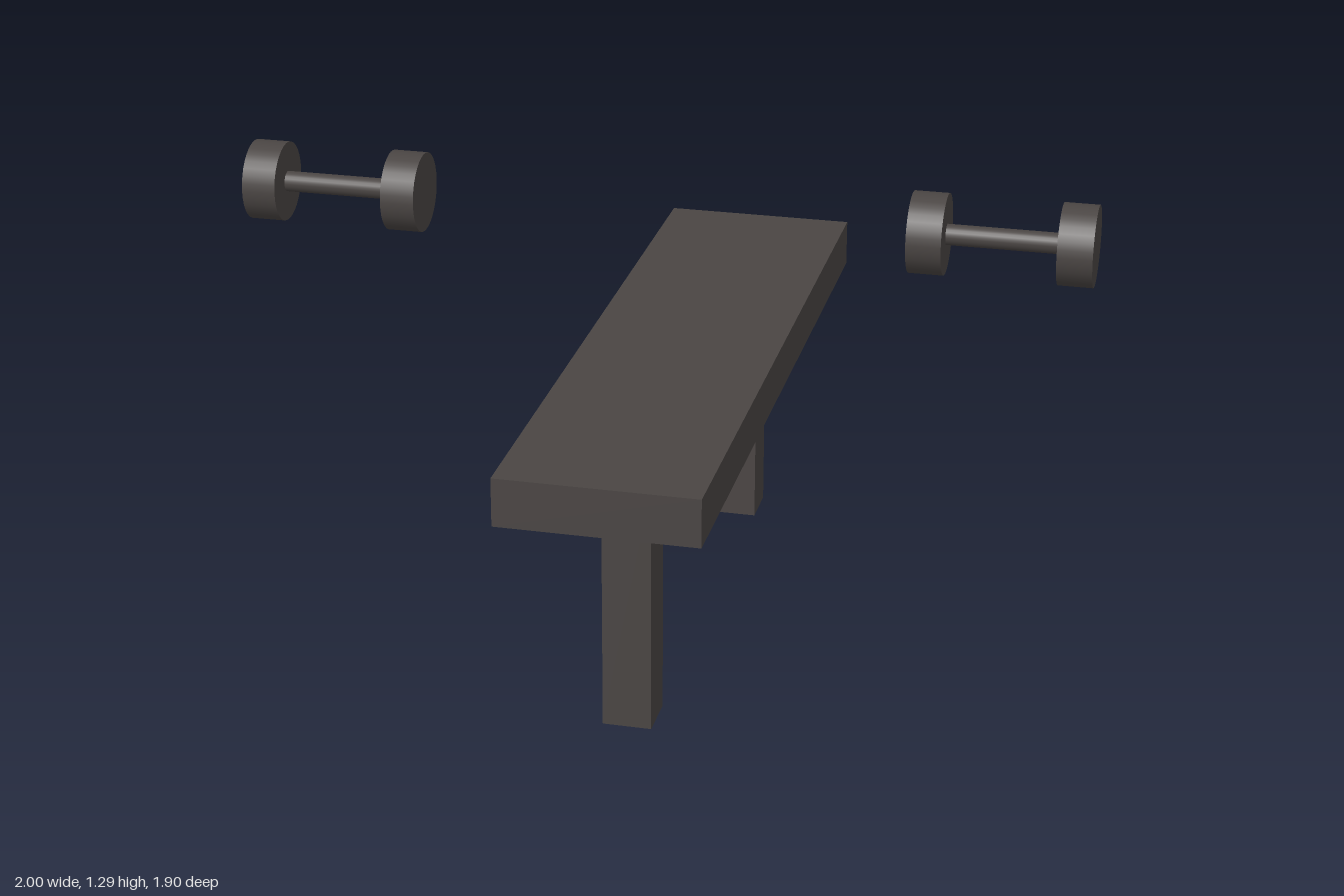
import * as THREE from 'three';

const TURN = -Math.PI / 9; // everything is turned 20 degrees about y

export function createModel() {
  const model = new THREE.Group();
  model.name = 'benchAndDumbbells';
  const charcoal = new THREE.MeshStandardMaterial({ color: 0x4a4543 });
  charcoal.name = 'charcoal';

  const add = (parent, name, geometry, x, y, z) => {
    const mesh = new THREE.Mesh(geometry, charcoal);
    mesh.name = name;
    mesh.position.set(x, y, z);
    parent.add(mesh);
  };
  const addGroup = (name, x, y, z) => {
    const group = new THREE.Group();
    group.name = name;
    group.position.set(x, y, z);
    group.rotation.y = TURN;
    model.add(group);
    return group;
  };

  // Bench: a long plank on two central posts
  const bench = addGroup('bench', 0.085, 0, 0);
  add(bench, 'seat', new THREE.BoxGeometry(0.49, 0.121, 1.841), 0, 0.7045, 0);
  const leg = new THREE.BoxGeometry(0.121, 0.644, 0.121);
  add(bench, 'frontLeg', leg, 0, 0.322, 0.573);
  add(bench, 'backLeg', leg, 0, 0.322, -0.658);

  // Dumbbells: a bar along local x with a disc weight at each end
  const weight = new THREE.CylinderGeometry(0.097, 0.097, 0.083, 32).rotateZ(Math.PI / 2);
  const bar = new THREE.CylinderGeometry(0.025, 0.025, 0.267, 24, 1, true).rotateZ(Math.PI / 2);
  for (const [name, x, z] of [['rightDumbbell', -0.763, -0.038], ['leftDumbbell', 0.763, 0.515]]) {
    const dumbbell = addGroup(name, x, 1.191, z);
    add(dumbbell, 'bar', bar, 0, 0, 0);
    for (const side of [-1, 1]) add(dumbbell, 'weight', weight, side * 0.175, 0, 0);
  }
  return model;
}
